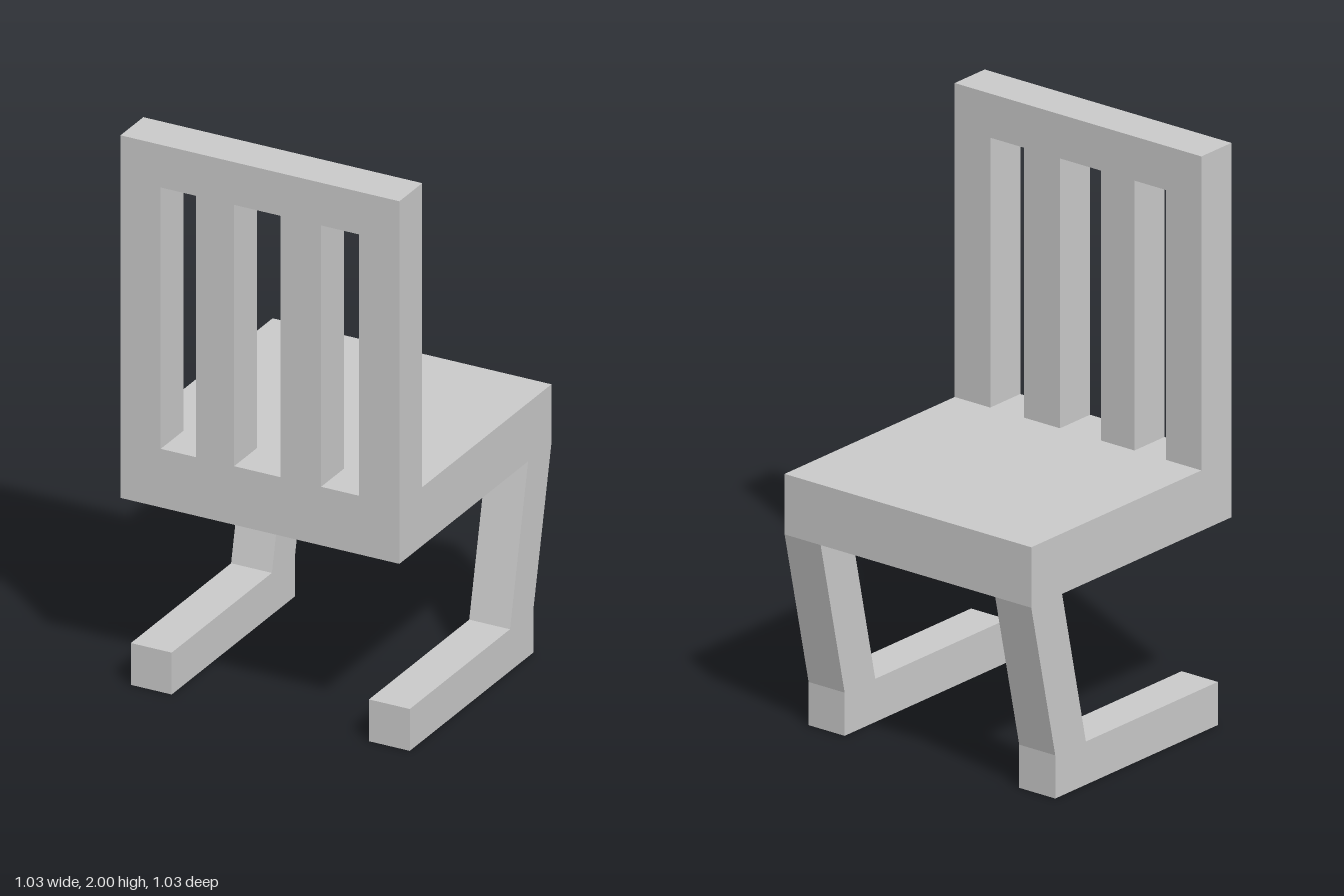
import * as THREE from 'three';

const HALF = 0.513;      // half of the seat width and depth
const BAR = 0.15;        // thickness of the legs and the back
const SEAT_LOW = 0.7, SEAT_TOP = 0.91;

const material = new THREE.MeshStandardMaterial({ color: 0xcccccc, flatShading: true });

function addMesh(group, name, geometry) {
  const mesh = new THREE.Mesh(geometry, material);
  mesh.name = name;
  group.add(mesh);
  return mesh;
}

function extrude(points, depth) {
  const shape = new THREE.Shape(points.map(([x, y]) => new THREE.Vector2(x, y)));
  return new THREE.ExtrudeGeometry(shape, { depth, bevelEnabled: false });
}

export function createModel() {
  const chair = new THREE.Group();
  chair.name = 'chair';

  // Thick square seat
  const seat = addMesh(chair, 'seat', new THREE.BoxGeometry(2 * HALF, SEAT_TOP - SEAT_LOW, 2 * HALF));
  seat.position.y = (SEAT_LOW + SEAT_TOP) / 2;

  // Slatted back: a comb outline with three slots open down to the seat
  const slots = [[-0.365, -0.235], [-0.095, 0.075], [0.225, 0.365]];
  const slotTop = 1.847;
  const outline = [[HALF, SEAT_TOP], [HALF, 2], [-HALF, 2], [-HALF, SEAT_TOP]];
  for (const [a, b] of slots) {
    outline.push([a, SEAT_TOP], [a, slotTop], [b, slotTop], [b, SEAT_TOP]);
  }
  const back = addMesh(chair, 'backrest', extrude(outline, BAR + 0.004));
  back.position.z = HALF - BAR - 0.004;

  // Slanted legs with long runners, drawn in (z, y) and extruded across x
  const legProfile = [
    [0.443, 0], [0.443, 0.15], [-0.233, 0.15], [-0.355, SEAT_LOW],
    [-HALF, SEAT_LOW], [-0.39, 0.15], [-0.39, 0],
  ];
  const legGeometry = extrude(legProfile, BAR).rotateY(-Math.PI / 2);
  for (const [name, x] of [['leftLeg', HALF], ['rightLeg', -HALF + BAR]]) {
    addMesh(chair, name, legGeometry).position.x = x;
  }

  return chair;
}
